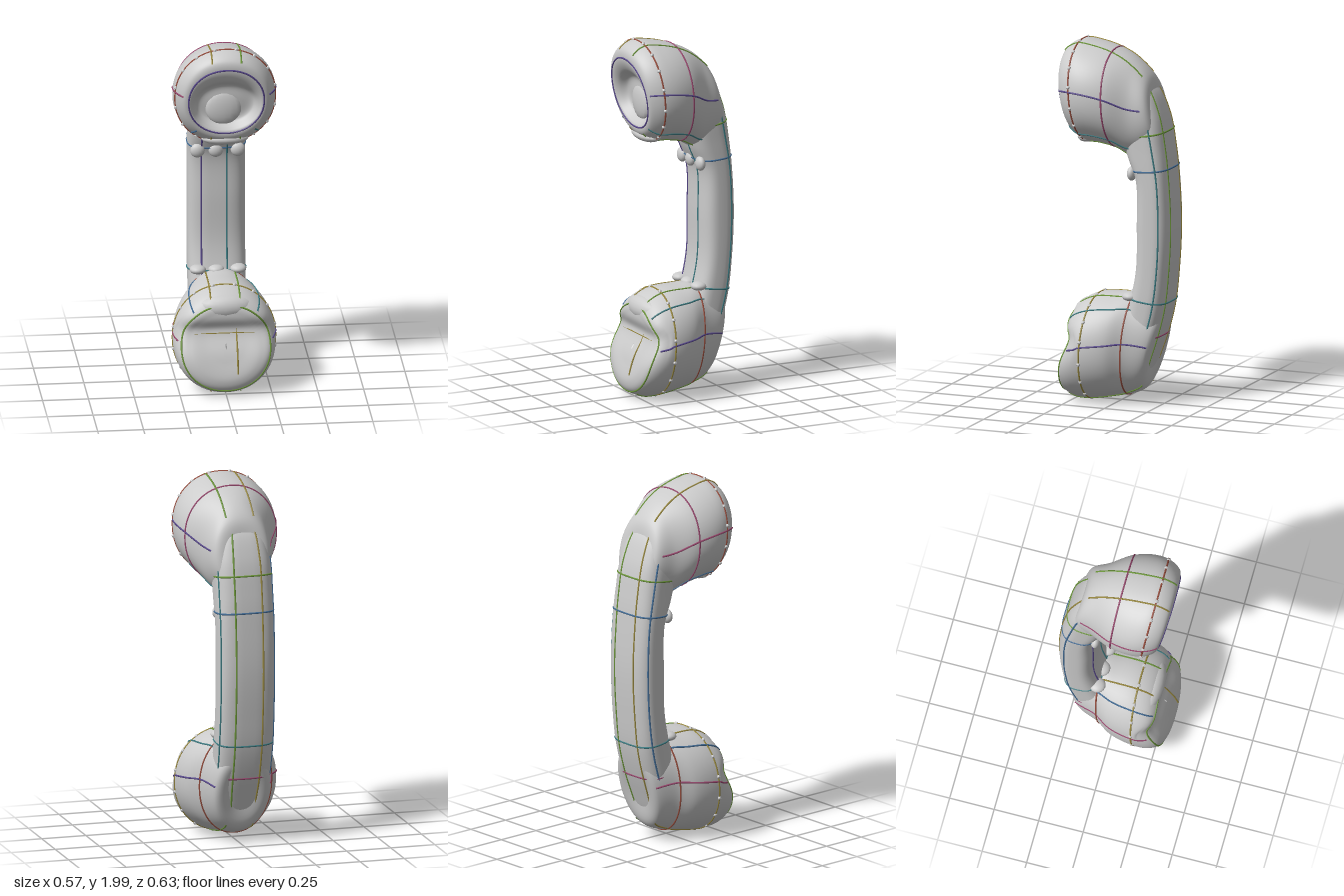
import * as THREE from 'three';

const grey = new THREE.MeshStandardMaterial({ color: 0xcccccc });
const paint = (c) => { const m = new THREE.MeshStandardMaterial(); m.color.set(c); return m; };
const TAU = Math.PI * 2;

// A loft runs through sections [zA, yA, zB, yB, halfWidth], each a rounded
// loop whose two ends lie at A and B in the side plane.
function makeLoft(sections, power, offsetX = 0, crease = () => 0) {
  const a = new THREE.CatmullRomCurve3(sections.map((s) => new THREE.Vector3(s[4], s[1], s[0])));
  const b = new THREE.CatmullRomCurve3(sections.map((s) => new THREE.Vector3(s[4], s[3], s[2])));
  const bend = (v) => Math.sign(v) * Math.pow(Math.abs(v), 2 / power);
  return (t, angle) => {
    const p = a.getPoint(t), q = b.getPoint(t);
    const c = bend(Math.cos(angle)), s = (bend(Math.sin(angle)) + 1) / 2;
    const v = new THREE.Vector3(offsetX + p.x * c, p.y + (q.y - p.y) * s, p.z + (q.z - p.z) * s);
    v.z -= crease(v);
    return v;
  };
}

function loftMesh(name, surface, rows, cols = 64) {
  const pos = [], index = [];
  for (let i = 0; i <= rows; i++)
    for (let j = 0; j < cols; j++) pos.push(...surface(i / rows, (j / cols) * TAU).toArray());
  for (let i = 0; i < rows; i++)
    for (let j = 0; j < cols; j++) {
      const k = (j + 1) % cols, p = i * cols, q = p + cols;
      index.push(p + j, p + k, q + j, p + k, q + k, q + j);
    }
  const g = new THREE.BufferGeometry();
  g.setAttribute('position', new THREE.Float32BufferAttribute(pos, 3));
  g.setIndex(index);
  g.computeVertexNormals();
  const mesh = new THREE.Mesh(g, grey);
  mesh.name = name;
  return mesh;
}

// Thin coloured seam lying on a surface
function seam(name, fn, color, closed = false) {
  const n = 32, pts = [];
  for (let i = 0; i < (closed ? n : n + 1); i++) pts.push(fn(i / n));
  const curve = new THREE.CatmullRomCurve3(pts, closed);
  const mesh = new THREE.Mesh(new THREE.TubeGeometry(curve, 64, 0.005, 5, closed), paint(color));
  mesh.name = name;
  return mesh;
}

function ball(name, x, y, z, sx, sy, sz) {
  const mesh = new THREE.Mesh(new THREE.SphereGeometry(1, 16, 12), grey);
  mesh.position.set(x, y, z);
  mesh.scale.set(sx, sy, sz);
  mesh.name = name;
  return mesh;
}

export function createModel() {
  const root = new THREE.Group();
  root.name = 'telephoneHandset';
  const yellow = 0x9a8a40, green = 0x6f9a3c, blue = 0x46709a, teal = 0x3f7f86;
  const red = 0x9a5040, pink = 0x9a4a70, purple = 0x5a4a8f;

  // Curved grip, sinking into the backs of both cups
  const grip = makeLoft([
    [-0.02, 0.12, -0.04, 0.12, 0.02],
    [0.0, 0.16, -0.13, 0.12, 0.11],
    [0.0, 0.32, -0.208, 0.29, 0.148],
    [-0.07, 0.56, -0.278, 0.53, 0.158],
    [-0.11, 0.75, -0.304, 0.75, 0.158],
    [-0.115, 1.0, -0.316, 1.0, 0.158],
    [-0.11, 1.25, -0.304, 1.25, 0.158],
    [-0.06, 1.38, -0.287, 1.42, 0.158],
    [0.0, 1.6, -0.248, 1.62, 0.153],
    [0.04, 1.74, -0.17, 1.77, 0.12],
    [0.0, 1.79, -0.04, 1.8, 0.02],
  ], 3, -0.01);
  root.add(loftMesh('grip', grip, 80));

  // Mouthpiece cup, with a crease across its slanted face
  const dent = (y) => 0.042 * Math.exp(-(((y - 0.365) / (y < 0.365 ? 0.1 : 0.055)) ** 2));
  const mouth = makeLoft([
    [-0.18, 0.28, -0.2, 0.34, 0.02],
    [-0.15, 0.09, -0.26, 0.53, 0.148],
    [-0.06, 0.045, -0.1, 0.605, 0.2],
    [0.02, 0.03, 0.0, 0.605, 0.255],
    [0.15, 0.01, 0.12, 0.595, 0.28],
    [0.24, 0.013, 0.2, 0.56, 0.272],
    [0.3, 0.045, 0.24, 0.51, 0.24],
    [0.318, 0.1, 0.25, 0.46, 0.19],
    [0.297, 0.2, 0.265, 0.38, 0.1],
    [0.285, 0.27, 0.28, 0.3, 0.003],
  ], 2.1, 0, (v) => (v.z > 0.15 ? dent(v.y) * Math.min(1, (v.z - 0.15) / 0.06) : 0));
  root.add(loftMesh('mouthpiece', mouth, 80));

  // Earpiece cup, its face hollowed below a broad upper rim
  const ear = makeLoft([
    [-0.22, 1.6, -0.2, 1.68, 0.02],
    [-0.237, 1.44, -0.17, 1.817, 0.148],
    [-0.1, 1.37, -0.09, 1.9, 0.195],
    [0.0, 1.415, 0.02, 1.955, 0.255],
    [0.1, 1.435, 0.14, 1.985, 0.28],
    [0.18, 1.44, 0.23, 1.992, 0.272],
    [0.235, 1.48, 0.3, 1.95, 0.235],
    [0.243, 1.52, 0.308, 1.89, 0.2],
    [0.23, 1.54, 0.28, 1.83, 0.18],
    [0.2, 1.57, 0.225, 1.785, 0.15],
    [0.205, 1.64, 0.215, 1.72, 0.07],
    [0.21, 1.67, 0.212, 1.69, 0.003],
  ], 2.1);
  root.add(loftMesh('earpiece', ear, 99));
  root.add(ball('earpieceBoss', -0.01, 1.65, 0.2, 0.1, 0.1, 0.03));

  // Small rolls where the grip meets the cups
  for (const x of [-0.12, -0.02, 0.1]) {
    root.add(ball('upperCollarRoll', x, 1.29, -0.1, 0.04, 0.04, 0.025));
    root.add(ball('lowerCollarRoll', x, 0.605, -0.09, 0.045, 0.025, 0.045));
  }
  root.add(ball('earpieceLip', 0, 1.465, 0.18, 0.13, 0.035, 0.06));
  root.add(ball('mouthpieceBrow', 0, 0.49, 0.19, 0.16, 0.07, 0.065));

  // Seams along and around the grip
  for (const [angle, color] of [[1.23, green], [1.91, yellow], [0.4, teal], [2.74, blue], [-2.0, purple], [-1.39, teal]])
    root.add(seam('gripLongSeam', (u) => grip(0.14 + 0.74 * u, angle), color));
  for (const [t, color] of [[0.24, pink], [0.32, teal], [0.64, blue], [0.75, green]])
    root.add(seam('gripRingSeam', (u) => grip(t, u * TAU), color, true));

  // Seams and rim nubs on both cups
  for (const [name, cup, rings, end, sideAngle] of [
    ['mouthpiece', mouth, [[0.23, red], [0.45, yellow], [0.66, green]], 0.62, 0.85],
    ['earpiece', ear, [[0.28, pink], [0.45, red], [0.62, purple]], 0.55, -0.85],
  ]) {
    const reach = (u) => 0.12 + (end - 0.12) * u;
    for (const [t, color] of rings)
      root.add(seam(name + 'RingSeam', (u) => cup(t, u * TAU), color, true));
    // Pairs at a constant distance from the middle, over the top and below
    for (const side of [1, -1])
      for (const x of [0.075, -0.075])
        root.add(seam(name + 'LongSeam', (u) => cup(reach(u), side * Math.acos(x / cup(reach(u), 0).x)), x > 0 ? green : yellow));
    for (const [angle, color] of [[0.1, purple], [Math.PI - 0.1, pink], [sideAngle, teal], [Math.PI - sideAngle, blue]])
      root.add(seam(name + 'SideSeam', (u) => cup(reach(u), angle), color));
    for (let k = 0; k < 16; k++) {
      const nub = new THREE.Mesh(new THREE.IcosahedronGeometry(0.012, 0), grey);
      nub.position.copy(cup(rings[1][0], ((k + 0.5) / 16) * TAU));
      nub.name = name + 'RimNub';
      root.add(nub);
    }
  }

  // Crossed seams on the mouthpiece face
  const face = (x, y) => new THREE.Vector3(x, y, 0.322 - 0.22 * (y - 0.1) - dent(y));
  root.add(seam('faceCrossSeam', (u) => face(-0.17 + 0.34 * u, 0.35), yellow));
  root.add(seam('faceUprightSeam', (u) => face(0.06, 0.14 + 0.28 * u), yellow));
  return root;
}
